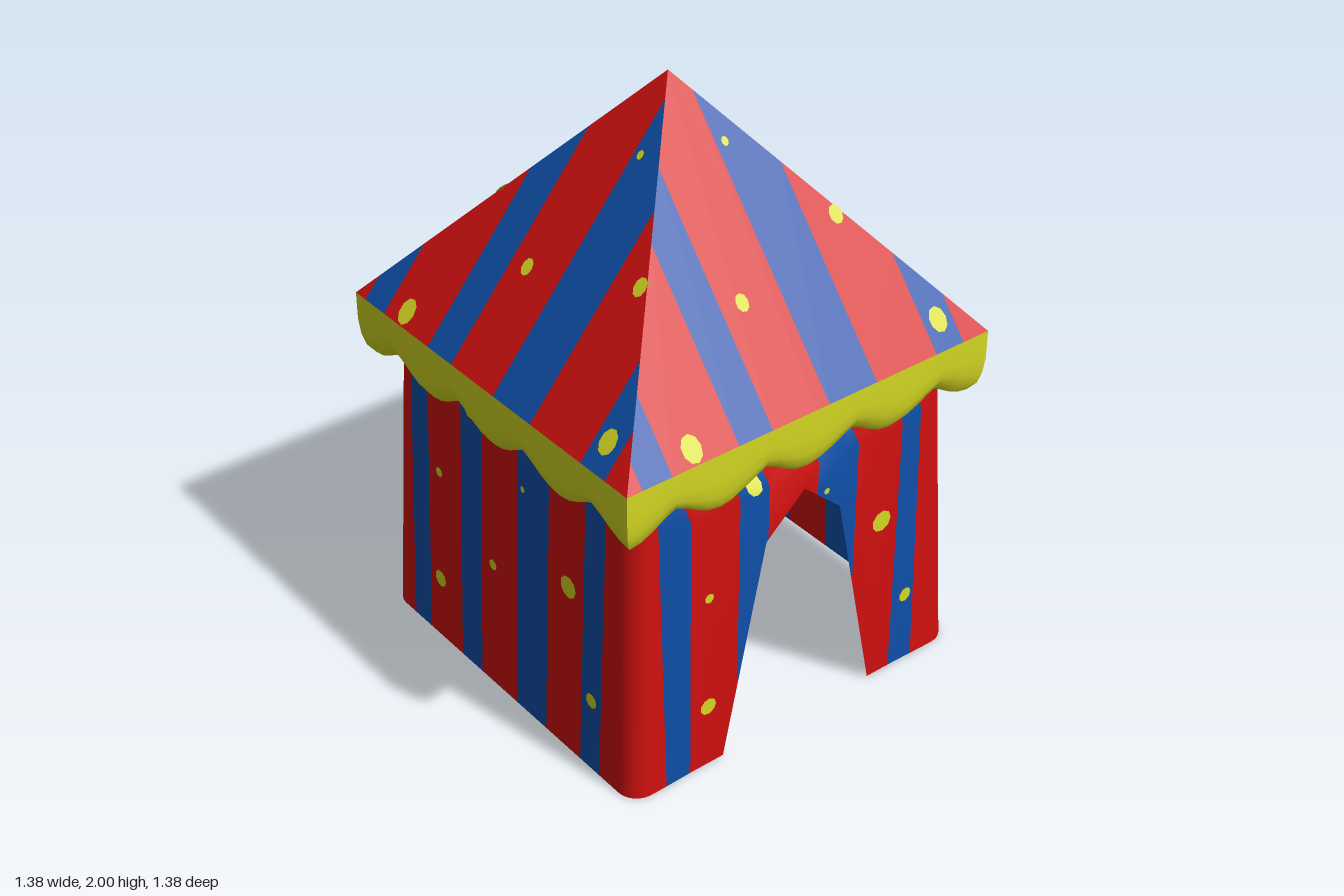
import * as THREE from 'three';
import { mergeGeometries } from 'three/addons/utils/BufferGeometryUtils.js';

const RED = 'red canvas', BLUE = 'blue canvas', YELLOW = 'yellow trim';
const EAVE = 1.18, APEX = 2, HALF = 0.69, SLOPE = (APEX - EAVE) / HALF;
const WALL_TOP = 1.1, CORNER = 0.07;

// Stripe edges across one side; stripes alternate red, blue, red...
const WALL_EDGES = [-0.6, -0.524, -0.43, -0.249, -0.138, 0.053, 0.212, 0.39, 0.487, 0.6];
const ROOF_EDGES = [-HALF, -0.635, -0.53, -0.29, -0.165, 0.05, 0.235, 0.476, 0.587, HALF];

// Spots: position along the side, height, radius
const WALL_SPOTS = [
  [-0.19, 0.97, 0.028], [0.085, 0.835, 0.011], [-0.365, 0.65, 0.017], [0.32, 0.615, 0.038],
  [-0.07, 0.465, 0.019], [-0.365, 0.235, 0.03], [0.445, 0.265, 0.026],
];
const ROOF_SPOTS = [
  [0.08, 1.81, 0.012], [-0.09, 1.465, 0.022], [-0.44, 1.22, 0.034], [0.53, 1.255, 0.032], [0.34, 1.567, 0.024],
];

const wallWidth = (y) => 0.655 - 0.045 * y;
const clamp = THREE.MathUtils.clamp;

// Turn a point of the front side (s along, y up, w outwards) to side 0 front, 1 right, 2 back, 3 left
function turn(side, s, y, w) {
  return [[s, y, w], [w, y, -s], [-s, y, -w], [-w, y, s]][side];
}

// Wall surface; opposite walls mirror each other, and the door wall stands upright in its middle
function wallPoint(side, s, y, out = 0) {
  let w = wallWidth(y);
  if (side === 1) {
    const k = clamp((0.54 - Math.abs(s)) / 0.12, 0, 1) * clamp((1 - y) / 0.05, 0, 1);
    w += (0.652 - w) * k;
  }
  const end = wallWidth(y) - CORNER;
  const t = clamp(s, -end, end);
  return turn(side, side > 1 ? -t : t, y, w + out);
}

const roofPoint = (side, s, y, out = 0) => turn(side, s, y, (APEX - y) / SLOPE + out);

// Lower edge of the door wall: an opening with a pointed top
function doorTop(s) {
  const a = Math.abs(s);
  if (a >= 0.3) return 0;
  return a > 0.145 ? 0.75 * (0.3 - a) / 0.155 : 0.75 + 0.13 * (1 - a / 0.145);
}

// Sheet of quads over a grid of columns and rows
function sheet(cols, rows, point) {
  const pos = [], idx = [];
  for (let i = 0; i < cols; i++) {
    for (let j = 0; j < rows; j++) {
      pos.push(...point(i, j));
      if (i < cols - 1 && j < rows - 1) {
        const a = i * rows + j, b = a + rows;
        idx.push(a, b, b + 1, a, b + 1, a + 1);
      }
    }
  }
  const g = new THREE.BufferGeometry();
  g.setAttribute('position', new THREE.Float32BufferAttribute(pos, 3));
  g.setIndex(idx);
  g.computeVertexNormals();
  return g;
}

// One stripe from edge a to edge b, split at the given breaks
function stripe(a, b, breaks, heights, point) {
  const cols = [a, ...breaks.filter((v) => v > a + 1e-4 && v < b - 1e-4), b];
  const rows = heights(a).length;
  return sheet(cols.length, rows, (i, j) => point(cols[i], heights(cols[i])[j]));
}

// Thin round spot laid on a surface
function spot([s, y, r], point) {
  const g = new THREE.CircleGeometry(r, 9);
  const p = g.attributes.position;
  for (let i = 0; i < p.count; i++) p.setXYZ(i, ...point(s + p.getX(i), y + p.getY(i)));
  g.computeVertexNormals();
  g.deleteAttribute('uv');
  return g;
}

export function createModel() {
  const material = (name, color) => {
    const m = new THREE.MeshStandardMaterial({ color, side: THREE.DoubleSide });
    m.name = name;
    return m;
  };
  const materials = {
    [RED]: material(RED, 0xd01010),
    [BLUE]: material(BLUE, 0x0f4fa8),
    [YELLOW]: material(YELLOW, 0xd4d822),
  };
  const tent = new THREE.Group();
  tent.name = 'tent';
  const add = (parent, name, color, parts) => {
    const mesh = new THREE.Mesh(mergeGeometries(parts), materials[color]);
    mesh.name = name;
    parent.add(mesh);
  };

  const sideNames = ['front', 'right', 'back', 'left'];
  const wallBreaks = [-0.54, -0.42, -0.3, -0.145, 0, 0.145, 0.3, 0.42, 0.54];
  sideNames.forEach((label, side) => {
    const wall = new THREE.Group(), roof = new THREE.Group();
    wall.name = label + 'Wall';
    roof.name = label + 'Roof';
    tent.add(wall, roof);
    const onWall = (s, y) => wallPoint(side, s, y);
    const onRoof = (s, y) => roofPoint(side, s, y);
    const wallHeights = (s) => [side === 1 ? doorTop(s) : 0, 0.95, 1, WALL_TOP];
    const roofHeights = (s) => [EAVE, APEX - Math.abs(s) * SLOPE];

    // Striped canvas of the wall and the roof slope
    const wallParts = [[], []], roofParts = [[], []];
    for (let i = 0; i < WALL_EDGES.length - 1; i++) {
      wallParts[i % 2].push(stripe(WALL_EDGES[i], WALL_EDGES[i + 1], wallBreaks, wallHeights, onWall));
      roofParts[i % 2].push(stripe(ROOF_EDGES[i], ROOF_EDGES[i + 1], [0], roofHeights, onRoof));
    }
    [RED, BLUE].forEach((color, i) => {
      add(wall, i ? 'blueWallStripes' : 'redWallStripes', color, wallParts[i]);
      add(roof, i ? 'blueRoofStripes' : 'redRoofStripes', color, roofParts[i]);
    });

    // Yellow spots, showing on both faces of the canvas
    const wallSpots = [], roofSpots = [];
    for (const out of [0.005, -0.005]) {
      for (const d of WALL_SPOTS) {
        if (side === 1 && doorTop(d[0]) > d[1]) continue;
        wallSpots.push(spot(d, (s, y) => wallPoint(side, s, y, out)));
      }
      for (const d of ROOF_SPOTS) roofSpots.push(spot(d, (s, y) => roofPoint(side, s, y, out)));
    }
    add(wall, 'wallSpots', YELLOW, wallSpots);
    add(roof, 'roofSpots', YELLOW, roofSpots);

    // Rounded red corner to the right of this side
    const corner = sheet(7, 2, (i, j) => {
      const y = j * WALL_TOP, c = wallWidth(y) - CORNER, a = (i / 6) * Math.PI / 2;
      return turn(side, c + CORNER * Math.sin(a), y, c + CORNER * Math.cos(a));
    });
    add(wall, 'wallCorner', RED, [corner]);

    // Scalloped valance, curling inwards at the hem
    const profile = [[0.69, 0], [0.69, 0.45], [0.685, 0.7], [0.675, 0.88], [0.655, 1]];
    const valance = sheet(33, profile.length, (i, j) => {
      const t = i / 16 - 1;
      const hem = 1.035 - 0.07 * Math.abs(Math.cos(2 * Math.PI * t)) ** 1.3;
      const [w, k] = profile[j];
      return turn(side, t * w, EAVE + (hem - EAVE) * k, w);
    });
    add(roof, 'valance', YELLOW, [valance]);
  });
  return tent;
}
